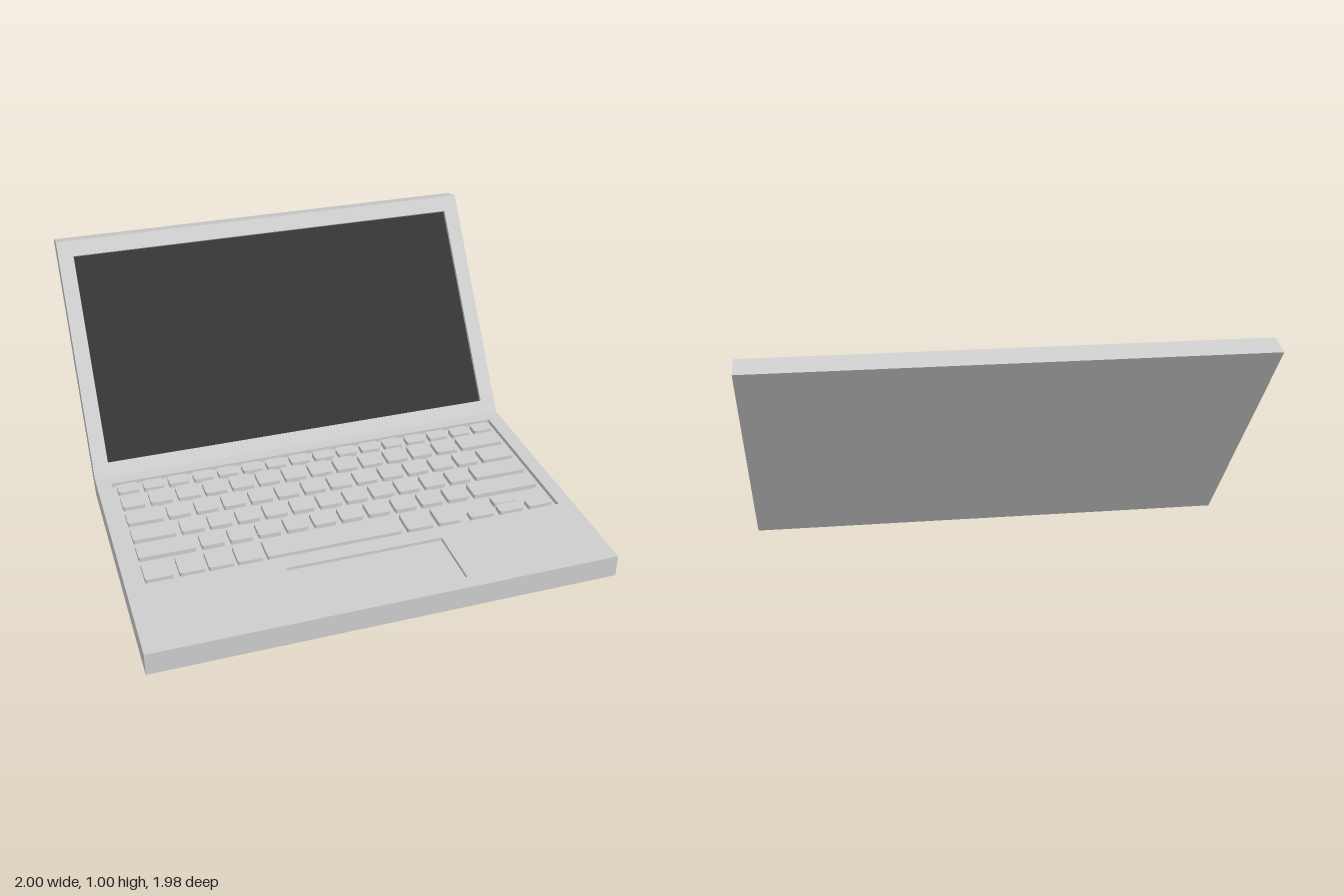
import * as THREE from 'three';

const DEPTH = 0.02; // depth of the keyboard, touchpad and screen recesses

function rectPath(PathType, x0, y0, x1, y1, r = 0) {
  const p = new PathType();
  if (r === 0) {
    p.moveTo(x0, y0); p.lineTo(x1, y0); p.lineTo(x1, y1); p.lineTo(x0, y1);
  } else {
    p.moveTo(x0 + r, y0);
    p.lineTo(x1 - r, y0); p.quadraticCurveTo(x1, y0, x1, y0 + r);
    p.lineTo(x1, y1 - r); p.quadraticCurveTo(x1, y1, x1 - r, y1);
    p.lineTo(x0 + r, y1); p.quadraticCurveTo(x0, y1, x0, y1 - r);
    p.lineTo(x0, y0 + r); p.quadraticCurveTo(x0, y0, x0 + r, y0);
  }
  p.closePath();
  return p;
}

// Plate with rectangular holes, its face at local z = 0; the lower rim is mitred at both ends.
function panel(y0, y1, holes, lowY0, lowY1) {
  const shape = rectPath(THREE.Shape, -1, y0, 1, y1);
  for (const h of holes) shape.holes.push(rectPath(THREE.Path, ...h));
  const g = new THREE.ExtrudeGeometry(shape, { depth: DEPTH, bevelEnabled: false });
  g.translate(0, 0, -DEPTH);
  const pos = g.attributes.position;
  for (let i = 0; i < pos.count; i++) {
    if (pos.getZ(i) > -DEPTH / 2) continue;
    if (Math.abs(pos.getY(i) - y0) < 1e-5) pos.setY(i, lowY0);
    else if (Math.abs(pos.getY(i) - y1) < 1e-5) pos.setY(i, lowY1);
  }
  g.computeVertexNormals();
  return g;
}

export function createModel() {
  const group = new THREE.Group();
  const silver = new THREE.MeshStandardMaterial({ color: 0xcccccc });
  silver.name = 'silver';
  const darkGlass = new THREE.MeshStandardMaterial({ color: 0x343434 });
  darkGlass.name = 'darkGlass';

  const add = (parent, name, geometry, material) => {
    const mesh = new THREE.Mesh(geometry, material);
    mesh.name = name;
    parent.add(mesh);
    return mesh;
  };

  // Shell: side profile as [z, y], swept across the width
  const profile = [[0.99, 0], [0.99, 0.08], [-0.24, 0.08], [-0.911, 0.995], [-0.99, 0.975], [-0.26, 0]];
  const side = new THREE.Shape(profile.map(([z, y]) => new THREE.Vector2(-z, y)));
  const shellGeometry = new THREE.ExtrudeGeometry(side, { depth: 2, bevelEnabled: false });
  shellGeometry.translate(0, 0, -1);
  shellGeometry.rotateY(Math.PI / 2);
  add(group, 'shell', shellGeometry, silver);

  // Deck with the keyboard and touchpad recesses (local y is -z)
  const deck = add(group, 'deck', panel(-0.99, 0.23, [
    [-0.935, -0.575, 0.935, 0.175],
    [-0.345, -0.925, 0.345, -0.65],
  ], -0.99, 0.24), silver);
  deck.rotation.x = -Math.PI / 2;
  deck.position.y = 0.1;

  // Lid frame and the screen sunk into it
  const lid = new THREE.Group();
  lid.name = 'lid';
  lid.position.set(0, 0.1, -0.23);
  lid.rotation.x = -Math.atan2(0.66, 0.9);
  group.add(lid);
  const length = Math.hypot(0.66, 0.9);
  const [low, high] = [0.068, 1.042];
  add(lid, 'screenFrame', panel(0, length, [[-0.93, low, 0.93, high]], -0.01, length + 0.008), silver);
  const screen = add(lid, 'screen', new THREE.BoxGeometry(1.86, high - low, 0.004), darkGlass);
  screen.position.set(0, (low + high) / 2, -DEPTH + 0.001);

  // Touchpad
  const pad = add(group, 'touchpad', new THREE.BoxGeometry(0.69, 0.008, 0.275), silver);
  pad.position.set(0, 0.082, 0.7875);

  // Keyboard
  const keyboard = new THREE.Group();
  keyboard.name = 'keyboard';
  group.add(keyboard);
  const addKey = (x0, x1, z0, z1) => {
    const g = new THREE.ExtrudeGeometry(rectPath(THREE.Shape, x0, -z1, x1, -z0, 0.012),
      { depth: DEPTH + 0.001, bevelEnabled: false, curveSegments: 3 });
    g.rotateX(-Math.PI / 2);
    add(keyboard, 'key', g, silver).position.y = 0.08;
  };

  // Rows: front and back edge, first key width, number of equal keys, last key width
  const edge = 0.914, gap = 0.025;
  const rows = [
    [-0.155, -0.09, 0.092, 14, 0.092],
    [-0.07, 0.03, 0.1, 12, 0.209],
    [0.055, 0.155, 0.155, 12, 0.155],
    [0.18, 0.28, 0.187, 11, 0.246],
    [0.305, 0.405, 0.246, 10, 0.31],
  ];
  for (const [z0, z1, first, n, last] of rows) {
    addKey(-edge, -edge + first, z0, z1);
    addKey(edge - last, edge, z0, z1);
    const start = -edge + first + gap;
    const pitch = (edge - last - start) / n;
    for (let i = 0; i < n; i++) addKey(start + i * pitch, start + (i + 1) * pitch - gap, z0, z1);
  }

  // Bottom row with the space bar
  const bottomRow = [[-0.914, -0.797], [-0.77, -0.663], [-0.647, -0.54], [-0.524, -0.417],
    [-0.396, 0.203], [0.23, 0.348], [0.374, 0.476]];
  for (const [x0, x1] of bottomRow) addKey(x0, x1, 0.433, 0.556);

  // Arrow keys
  for (const x of [0.524, 0.663, 0.802]) addKey(x, x + 0.112, 0.499, 0.556);
  addKey(0.663, 0.775, 0.433, 0.494);

  return group;
}
